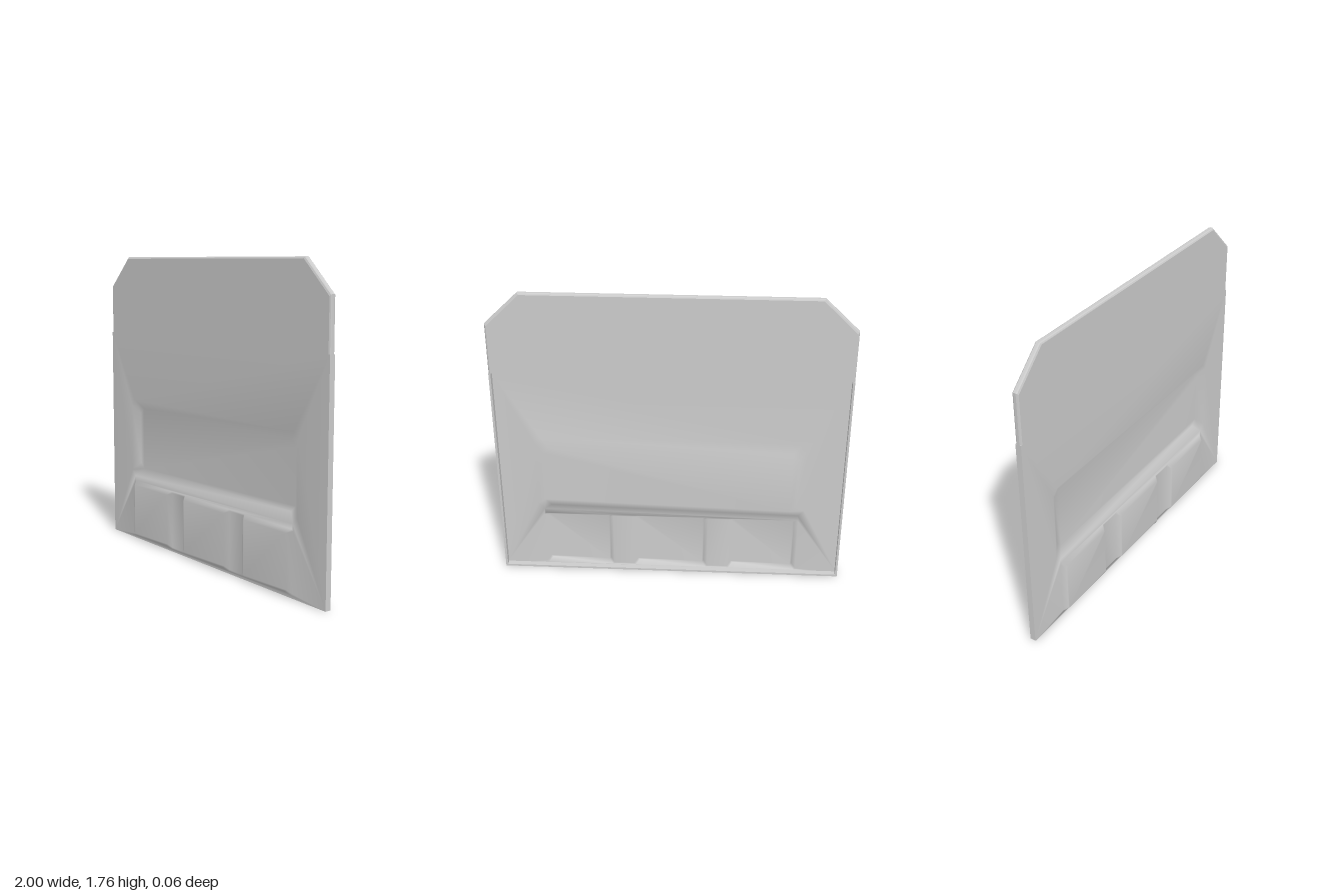
import * as THREE from 'three';
import { mergeGeometries, mergeVertices } from 'three/addons/utils/BufferGeometryUtils.js';

const FRONT = 0.005, BACK = -0.03, SEAM = 1.29;
const material = new THREE.MeshStandardMaterial({ color: 0xcccccc, side: THREE.DoubleSide });

// Rectangle with chamfered corners, counter-clockwise
function chamferedRect(x0, x1, y0, y1, c) {
  return [[x0 + c, y0], [x1 - c, y0], [x1, y0 + c], [x1, y1 - c],
    [x1 - c, y1], [x0 + c, y1], [x0, y1 - c], [x0, y0 + c]];
}

// Skin between outlines {pts, z}, closed at the first and, if asked, the last
function loft(rings, capEnd = false) {
  const n = rings[0].pts.length, pos = [], index = [];
  for (const { pts, z } of rings) for (const [x, y] of pts) pos.push(x, y, z);
  for (let k = 0; k < rings.length - 1; k++) {
    for (let i = 0; i < n; i++) {
      const a = k * n + i, b = k * n + (i + 1) % n;
      index.push(a, a + n, b, b, a + n, b + n);
    }
  }
  const last = (rings.length - 1) * n;
  for (let i = 1; i < n - 1; i++) {
    index.push(0, i, i + 1);
    if (capEnd) index.push(last, last + i + 1, last + i);
  }
  const g = new THREE.BufferGeometry();
  g.setAttribute('position', new THREE.Float32BufferAttribute(pos, 3));
  g.setIndex(index);
  return g;
}

// Lower sheet: flat skin with one recess and three raised panels pressed into it
function pressedSheet() {
  const shape = new THREE.Shape([[-1, 0], [1, 0], [1, SEAM], [-1, SEAM]].map(p => new THREE.Vector2(...p)));
  const pressings = [
    { x0: -0.78, x1: 0.78, y0: 0.4, y1: 0.88, slope: 0.05, c: 0.035, z: -0.028 },
    ...[[-0.75, -0.34], [-0.22, 0.22], [0.34, 0.75]].map(([x0, x1]) =>
      ({ x0, x1, y0: 0.015, y1: 0.37, slope: 0.022, c: 0.01, z: 0.03 })),
  ];
  const parts = [];
  for (const { x0, x1, y0, y1, slope: s, c, z } of pressings) {
    const outer = chamferedRect(x0, x1, y0, y1, c);
    const inner = chamferedRect(x0 + s, x1 - s, y0 + s, y1 - s, c);
    shape.holes.push(new THREE.Path(outer.map(p => new THREE.Vector2(...p))));
    parts.push(loft([{ pts: inner, z }, { pts: outer, z: FRONT }]));
  }
  const flat = new THREE.ShapeGeometry(shape).translate(0, 0, FRONT);
  flat.deleteAttribute('uv');
  flat.deleteAttribute('normal');
  const g = mergeVertices(mergeGeometries([flat, ...parts]), 1e-4);
  g.computeVertexNormals();
  return g;
}

// Upper slab with cut corners and softened front and back edges
function upperSlab() {
  const outline = [[-1, SEAM], [1, SEAM], [1, 1.58], [0.81, 1.76], [-0.81, 1.76], [-1, 1.58]];
  const ring = (inset, z) => ({
    z, pts: outline.map(([x, y]) => [x * (1 - inset), y > SEAM ? y - inset : y]),
  });
  const g = loft([ring(0.01, FRONT), ring(0.003, 0.001), ring(0, -0.005),
    ring(0, -0.02), ring(0.003, -0.026), ring(0.01, BACK)], true).toNonIndexed();
  g.computeVertexNormals();
  return g;
}

export function createModel() {
  const model = new THREE.Group();
  const add = (name, geometry, x = 0, y = 0, z = 0) => {
    const mesh = new THREE.Mesh(geometry, material);
    mesh.name = name;
    mesh.position.set(x, y, z);
    model.add(mesh);
  };
  add('pressedLowerSheet', pressedSheet());
  add('upperSlab', upperSlab());

  // Flanges folded back along the sides and the bottom
  const t = 0.012, depth = FRONT - BACK - 0.001, zMid = BACK + depth / 2;
  for (const side of [-1, 1]) {
    add(side > 0 ? 'leftFlange' : 'rightFlange', new THREE.BoxGeometry(t, SEAM, depth),
      side * (1 - t / 2), SEAM / 2, zMid);
  }
  add('bottomFlange', new THREE.BoxGeometry(2 - 2 * t, t, depth), 0, t / 2, zMid);
  return model;
}
